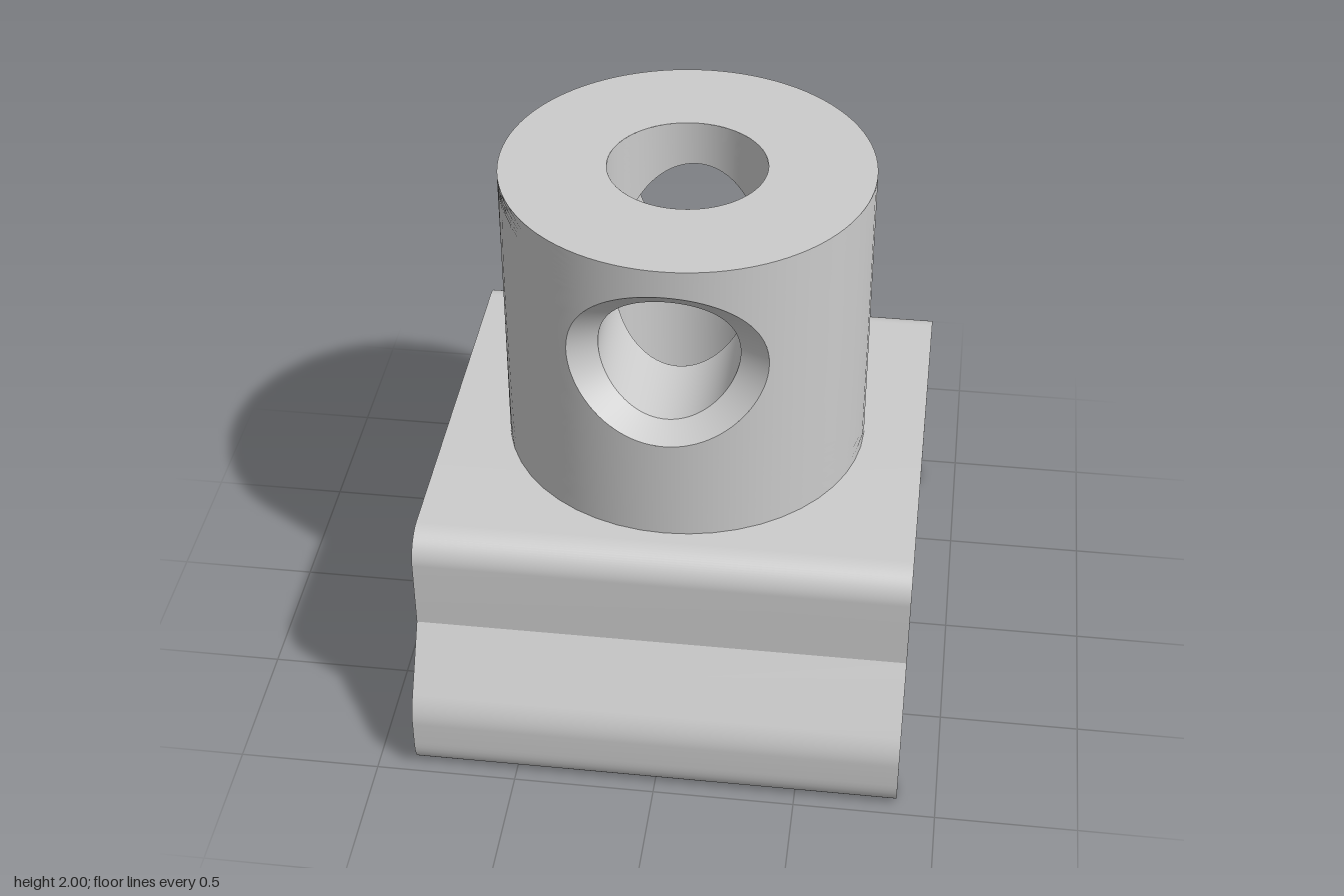
import * as THREE from 'three';
import { toCreasedNormals } from 'three/addons/utils/BufferGeometryUtils.js';
import { ParametricGeometry } from 'three/addons/geometries/ParametricGeometry.js';

const R = 0.645, BORE = 0.275, HOLE = 0.24, HOLE_Y = 1.595;
const TOP = 2, PLATE_TOP = 0.91, PLATE_BOTTOM = 0.8;

const material = new THREE.MeshStandardMaterial({ color: 0xcccccc, side: THREE.DoubleSide });

function add(group, name, geometry) {
  const mesh = new THREE.Mesh(geometry, material);
  mesh.name = name;
  group.add(mesh);
  return mesh;
}

// Half a cylinder wall, gridded between an oval hole and its border
function halfWall(radius, rx, ry, inward) {
  const border = (u) => {
    const s = Math.min(u * 4, 3.999999), k = Math.floor(s), f = (u * 4 - k) * 2 - 1;
    return [[1, f], [-f, 1], [-1, -f], [f, -1]][k];
  };
  return new ParametricGeometry((u, v, p) => {
    const [a, b] = border(u);
    const t = Math.atan2(b, a), w = inward ? v : 1 - v;
    const theta = THREE.MathUtils.lerp(Math.asin(rx * Math.cos(t) / radius), a * Math.PI / 2, w);
    const edgeY = b > 0 ? HOLE_Y + b * (TOP - HOLE_Y) : HOLE_Y + b * (HOLE_Y - PLATE_TOP);
    const y = THREE.MathUtils.lerp(HOLE_Y + ry * Math.sin(t), edgeY, w);
    p.set(radius * Math.sin(theta), y, radius * Math.cos(theta));
  }, 96, 12);
}

// Oval ring lying on a cylinder, pushed in by a depth that grows to the sides
function ovalPoint(t, rx, ry, radius, depth = 0) {
  const x = rx * Math.cos(t);
  const sink = depth * (1 + 0.5 * Math.cos(t) ** 2);
  return new THREE.Vector3(x, HOLE_Y + ry * Math.sin(t), Math.sqrt(radius * radius - x * x) - sink);
}

// Surface between two rings around the cross hole
function ringLoft(from, to) {
  return new ParametricGeometry((u, v, p) => {
    const t = u * Math.PI * 2;
    p.lerpVectors(from(t), to(t), v);
  }, 96, 4);
}

// Bent sheet profile: one half drawn, the other mirrored
function clipGeometry() {
  const half = new THREE.Path();
  half.moveTo(0, PLATE_TOP);
  half.lineTo(0.69, PLATE_TOP);
  half.absarc(0.69, 0.8, 0.11, Math.PI / 2, 0, true);
  half.lineTo(0.8, 0.54);
  half.lineTo(0.945, 0.32);
  half.quadraticCurveTo(0.98, 0.265, 0.98, 0.21);
  half.lineTo(0.98, 0.12);
  half.bezierCurveTo(0.98, 0.04, 0.94, 0, 0.895, 0);
  half.quadraticCurveTo(0.87, 0, 0.83, 0.03);
  half.lineTo(0.868, 0.11);
  half.lineTo(0.868, 0.235);
  half.lineTo(0.69, 0.51);
  half.lineTo(0.69, PLATE_BOTTOM);
  half.lineTo(0, PLATE_BOTTOM);
  const right = half.getPoints(10);
  const left = right.slice(1, -1).reverse().map((p) => new THREE.Vector2(-p.x, p.y));
  const geometry = new THREE.ExtrudeGeometry(new THREE.Shape([...right, ...left]), {
    depth: 1.725, bevelEnabled: false,
  });
  geometry.translate(0, 0, -0.8625).rotateY(Math.PI / 2);
  return toCreasedNormals(geometry, 0.4);
}

// Rounded foot with a dished centre below the plate
function footGeometry() {
  const path = new THREE.Path();
  path.moveTo(0.387, PLATE_BOTTOM);
  path.quadraticCurveTo(0.44, 0.71, 0.53, 0.71);
  path.lineTo(0.585, 0.71);
  path.absarc(0.585, 0.77, 0.06, -Math.PI / 2, 0, false);
  path.lineTo(R, PLATE_TOP);
  return new THREE.LatheGeometry(path.getPoints(8), 96);
}

export function createModel() {
  const group = new THREE.Group();
  group.name = 'springClipWithPost';

  add(group, 'springClip', clipGeometry());

  const post = new THREE.Group();
  post.name = 'post';
  group.add(post);
  add(post, 'postTop', new THREE.RingGeometry(BORE, R, 96).rotateX(-Math.PI / 2).translate(0, TOP, 0));
  add(post, 'postFoot', footGeometry());

  // Front and back halves, each with its chamfered opening
  const outer = (t) => ovalPoint(t, 0.34, 0.305, R);
  const throat = (t) => ovalPoint(t, HOLE, HOLE, R, 0.068);
  const inner = (t) => ovalPoint(t, HOLE, HOLE, BORE);
  for (const [side, angle] of [['front', 0], ['back', Math.PI]]) {
    const half = new THREE.Group();
    half.name = side + 'Half';
    half.rotation.y = angle;
    post.add(half);
    add(half, side + 'OuterWall', halfWall(R, 0.34, 0.305, false));
    add(half, side + 'BoreWall', halfWall(BORE, HOLE, HOLE, true));
    add(half, side + 'HoleChamfer', ringLoft(outer, throat));
    add(half, side + 'CrossHole', ringLoft(throat, inner));
  }
  return group;
}
